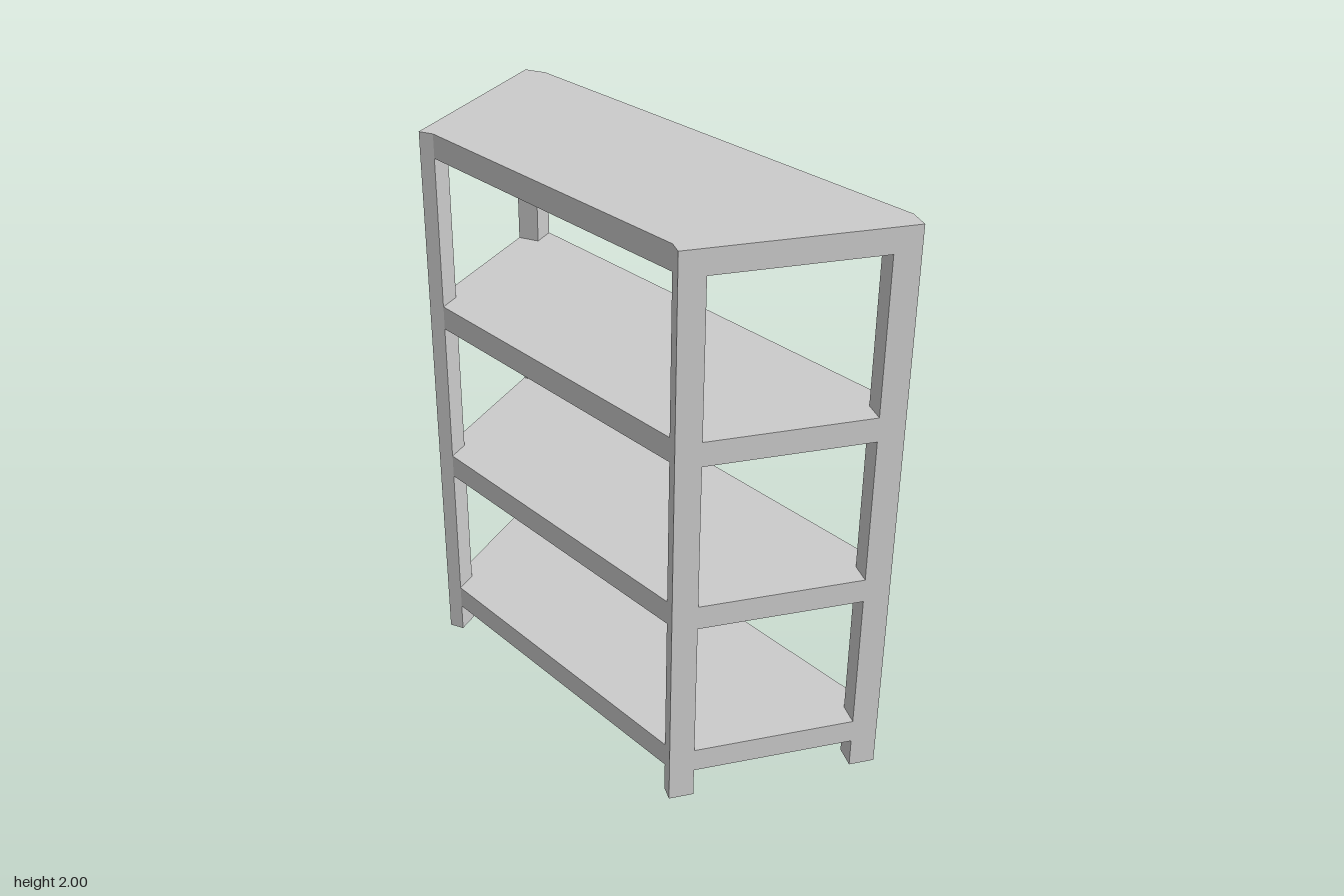
import * as THREE from 'three';

const material = new THREE.MeshStandardMaterial({ color: 0xcccccc, flatShading: true });

// Prism with a plan outline of [x, z] points, standing between two heights
function prism(name, outline, bottom, top) {
  const shape = new THREE.Shape(outline.map(([x, z]) => new THREE.Vector2(x, -z)));
  const geometry = new THREE.ExtrudeGeometry(shape, { depth: top - bottom, bevelEnabled: false });
  geometry.rotateX(-Math.PI / 2);
  geometry.translate(0, bottom, 0);
  const mesh = new THREE.Mesh(geometry, material);
  mesh.name = name;
  return mesh;
}

export function createModel() {
  const group = new THREE.Group();
  group.name = 'taperedShelfUnit';
  const height = 2;
  const frontCorner = new THREE.Vector2(0.642, 0.353);
  const backCorner = new THREE.Vector2(0.952, -0.32);

  // Slanted side direction (towards the back) and its inward normal
  const side = backCorner.clone().sub(frontCorner).normalize();
  const inward = new THREE.Vector2(side.y, -side.x);

  // Post plan: outer corner, outer far, inner far, inner near
  const postPlan = (corner, depth, width) => [[0, 0], [depth, 0], [depth, width], [0, width]].map(
    ([d, w]) => corner.clone().addScaledVector(side, d).addScaledVector(inward, w).toArray());
  const front = postPlan(frontCorner, 0.086, 0.054);
  const back = postPlan(backCorner, -0.09, 0.08);
  const mirror = (points) => points.map(([x, z]) => [-x, z]);

  // Four posts, turned to follow the slanted sides
  group.add(
    prism('frontLeftPost', front, 0, height),
    prism('frontRightPost', mirror(front), 0, height),
    prism('backLeftPost', back, 0, height),
    prism('backRightPost', mirror(back), 0, height));

  // Shelves notched around the posts, flush with the outer sides
  const half = [front[3], front[2], front[1], back[1], back[2], back[3]];
  const outline = [...half, ...mirror(half).reverse()];
  [0.105, 0.69, 1.29, 1.915].forEach((y, i) => {
    group.add(prism(i === 3 ? 'topShelf' : `shelf${i + 1}`, outline, y, y + 0.085));
  });
  return group;
}
